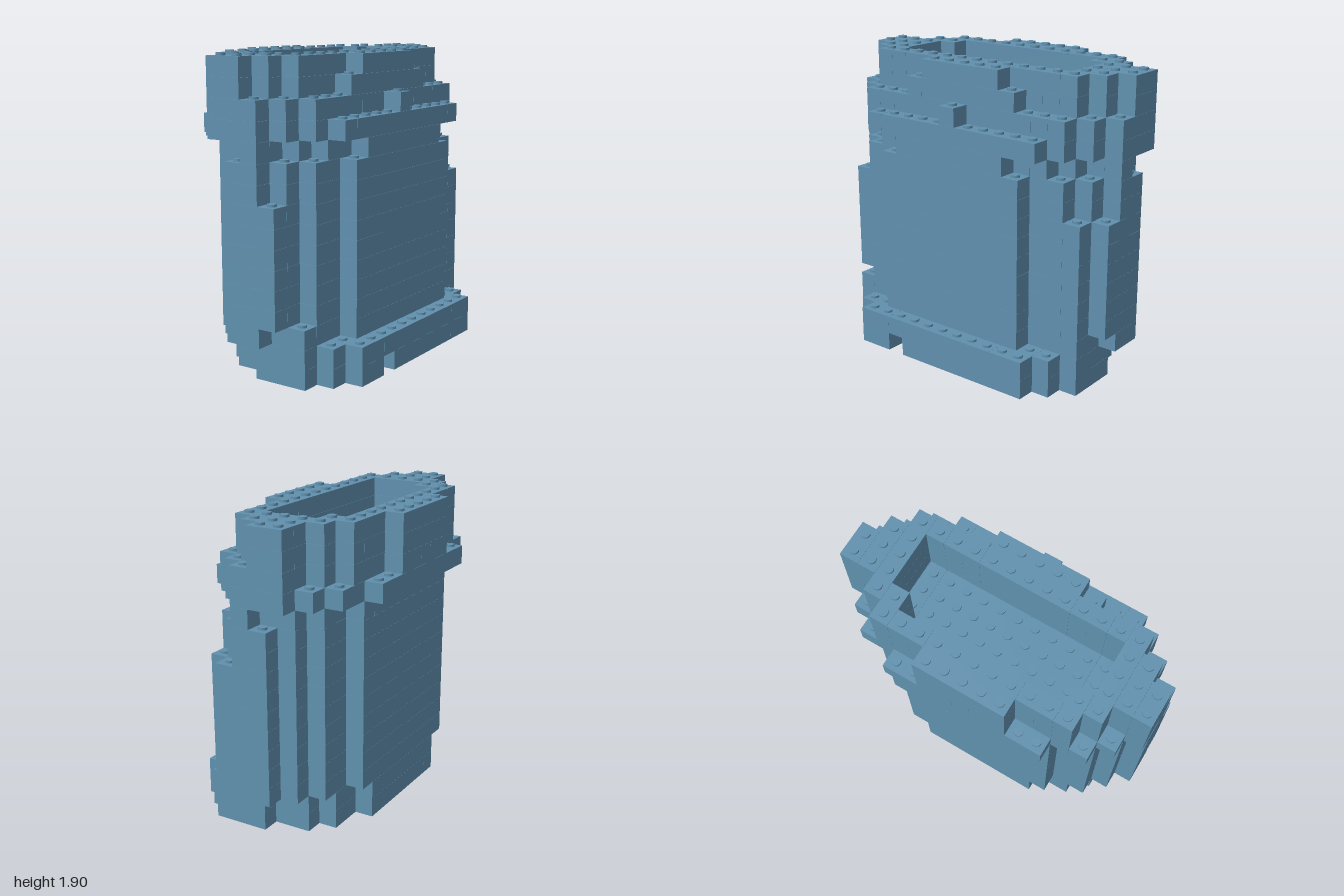
import * as THREE from 'three';
import { mergeGeometries } from 'three/addons/utils/BufferGeometryUtils.js';

const P = 2 / 17;        // stud pitch
const H = 0.1177;        // brick height
const GAP = 0.0008;      // hairline seam between bricks
const STUD_R = 0.028, STUD_H = 0.015;

// Plan outlines: left and right edge (in studs) for rows 0..8 counted out from the middle
const bodyLeft = [-4, -4, -4, -4, -4, -3, -3, -2, -1];
const rimLeft = [-5, -5, -5, -4, -4, -4, -3, -2, -2];
const sections = [
  { name: 'base', from: 0, to: 1,
    left: [-4, -4, -4, -4, -3, -3, -2, 0], right: [5, 5, 5, 5, 5, 5, 4, 3] },
  { name: 'lowerBody', from: 2, to: 2, left: bodyLeft, right: [4, 4, 4, 4, 4, 3, 3, 3, 1] },
  { name: 'body', from: 3, to: 8, left: bodyLeft, right: [4, 4, 4, 4, 4, 3, 3, 2, 2], backCorner: true },
  { name: 'upperBody', from: 9, to: 10, left: bodyLeft, right: [4, 4, 4, 4, 4, 3, 3, 2, 1] },
  { name: 'neck', from: 11, to: 11,
    left: [-4, -4, -4, -4, -4, -3, -3, -2, 0], right: [4, 4, 4, 4, 3, 3, 2, 1, 1] },
  { name: 'ledge', from: 12, to: 12,
    left: [-5, -5, -5, -5, -5, -4, -4, -3, -2], right: [4, 4, 4, 4, 4, 4, 3, 2, 1] },
  { name: 'lowerRim', from: 13, to: 13, left: rimLeft, right: [4, 3, 3, 3, 3, 3, 3, 2, 1], open: true },
  { name: 'middleRim', from: 14, to: 14, left: rimLeft, right: [3, 3, 3, 3, 2, 2, 2, 1, 0], open: true },
  { name: 'topRim', from: 15, to: 15, left: rimLeft, right: [3, 3, 3, 2, 2, 2, 2, 1, 0], open: true },
];

// Filled spans [x0, x1] of one row in a layer
function spans(section, layer, row) {
  const r = Math.abs(row);
  if (r >= section.left.length) return [];
  const a = section.left[r];
  let b = section.right[r];
  if (section.backCorner && row === -7) b = 3;
  if (layer === 0 && row === 3) b = 4;
  if (section.open && r <= 5) return [[a, r === 5 ? -2 : -3], [1, b]];
  return [[a, b]];
}

function sectionAt(layer) {
  return sections.find((s) => layer >= s.from && layer <= s.to);
}

function covered(layer, row, x) {
  const s = sectionAt(layer);
  return !!s && spans(s, layer, row).some(([a, b]) => x >= a && x < b);
}

function brick(x0, x1, z0, z1, layer) {
  const g = new THREE.BoxGeometry((x1 - x0) * P - GAP, H - GAP, (z1 - z0) * P - GAP);
  g.translate((x0 + x1) / 2 * P, (layer + 0.5) * H, (z0 + z1) / 2 * P);
  return g;
}

function stud(x, row, layer) {
  const g = new THREE.CylinderGeometry(STUD_R, STUD_R, STUD_H, 16);
  g.translate((x + 0.5) * P, (layer + 1) * H + STUD_H / 2 - GAP, row * P);
  return g;
}

export function createModel() {
  const model = new THREE.Group();
  const blue = new THREE.MeshStandardMaterial({ color: 0x6090ae });
  blue.name = 'dusty blue';

  for (const section of sections) {
    const bricks = [], studs = [];
    for (let layer = section.from; layer <= section.to; layer++) {
      // One brick for each group of neighbouring rows with equal spans
      for (let row = -8; row <= 8;) {
        const runs = spans(section, layer, row);
        const key = JSON.stringify(runs);
        let end = row + 1;
        while (end <= 8 && JSON.stringify(spans(section, layer, end)) === key) end++;
        for (const [a, b] of runs) bricks.push(brick(a, b, row - 0.5, end - 0.5, layer));
        row = end;
      }
      // Studs wherever nothing sits on top
      for (let row = -8; row <= 8; row++) {
        for (const [a, b] of spans(section, layer, row)) {
          for (let x = a; x < b; x++) {
            if (!covered(layer + 1, row, x)) studs.push(stud(x, row, layer));
          }
        }
      }
    }
    const part = new THREE.Group();
    part.name = section.name;
    for (const [name, list] of [['Bricks', bricks], ['Studs', studs]]) {
      if (!list.length) continue;
      const mesh = new THREE.Mesh(mergeGeometries(list), blue);
      mesh.name = section.name + name;
      part.add(mesh);
    }
    model.add(part);
  }
  return model;
}
